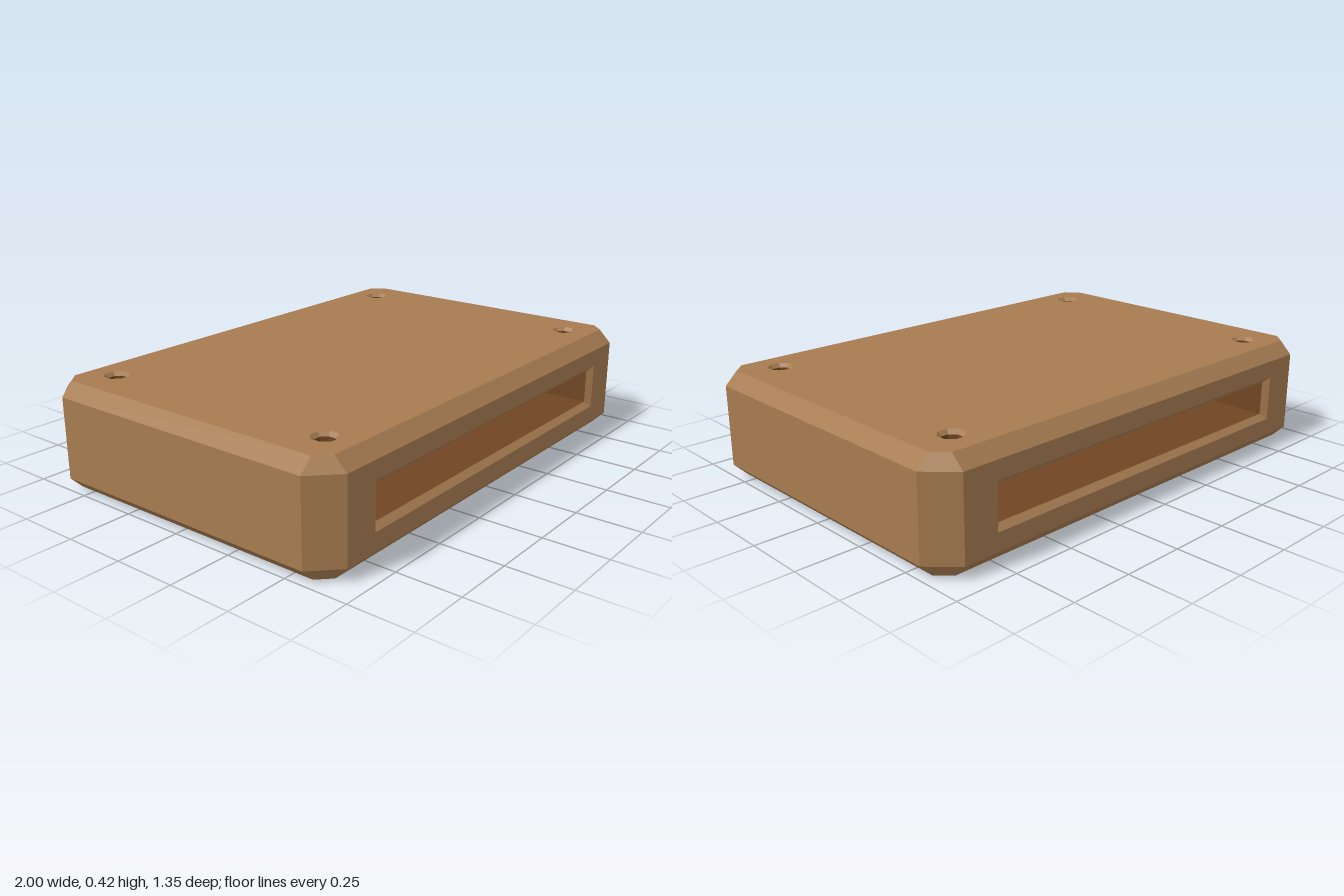
import * as THREE from 'three';

const caseBrown = new THREE.MeshStandardMaterial({ name: 'caseBrown', color: 0xa67b50 });
const innerBrown = new THREE.MeshStandardMaterial({ name: 'innerBrown', color: 0x704523 });

const H = 0.42, X = 1, Z = 0.675, CORNER = 0.1, BEVEL = 0.05;

// Counter-clockwise outlines in the xy plane
const rect = (hw, hh) => [[-hw, -hh], [hw, -hh], [hw, hh], [-hw, hh]];
const octagon = (r, cx = 0, cy = 0) => Array.from({ length: 8 }, (_, i) => {
  const a = (i + 0.5) * Math.PI / 4;
  return [cx + r * Math.cos(a), cy + r * Math.sin(a)];
});
const footprint = (inset) => {
  const x = X - inset, y = Z - inset, cx = X - CORNER, cy = Z - CORNER;
  return [[x, -cy], [x, cy], [cx, y], [-cx, y], [-x, cy], [-x, -cy], [-cx, -y], [cx, -y]];
};

// Flat-shaded skin through outlines placed at heights z; rising z faces out, falling z faces in
function loft(rings, { cap = false, skip = () => false } = {}) {
  const pos = [];
  const at = (k, i) => {
    const { pts, z } = rings[k];
    return [...pts[i % pts.length], z];
  };
  const n = rings[0].pts.length;
  for (let k = 0; k < rings.length - 1; k++) {
    for (let i = 0; i < n; i++) {
      if (skip(k, i)) continue;
      const a = at(k, i), b = at(k, i + 1), c = at(k + 1, i + 1), d = at(k + 1, i);
      pos.push(...a, ...b, ...c, ...a, ...c, ...d);
    }
  }
  const last = rings.length - 1;
  if (cap) for (let i = 1; i < n - 1; i++) pos.push(...at(last, 0), ...at(last, i), ...at(last, i + 1));
  const g = new THREE.BufferGeometry();
  g.setAttribute('position', new THREE.Float32BufferAttribute(pos, 3));
  g.computeVertexNormals();
  return g;
}

function plate(outline, holes = []) {
  const toV = (p) => p.map(([x, y]) => new THREE.Vector2(x, y));
  const shape = new THREE.Shape(toV(outline));
  holes.forEach((h) => shape.holes.push(new THREE.Path(toV(h))));
  return new THREE.ShapeGeometry(shape);
}

function add(parent, name, geometry, material) {
  const mesh = new THREE.Mesh(geometry, material);
  mesh.name = name;
  parent.add(mesh);
  return mesh;
}

export function createModel() {
  const model = new THREE.Group();
  model.name = 'case';

  // Upright shell, worked lying in xy with z as height
  const shell = new THREE.Group();
  shell.name = 'shell';
  shell.rotation.x = -Math.PI / 2;
  model.add(shell);
  add(shell, 'bevelledSides', loft([
    { pts: footprint(BEVEL), z: 0 },
    { pts: footprint(0), z: BEVEL },
    { pts: footprint(0), z: H - BEVEL },
    { pts: footprint(BEVEL), z: H },
  ], { skip: (k, i) => k === 1 && (i === 2 || i === 6) }), caseBrown);
  add(shell, 'bottom', plate(footprint(BEVEL)).rotateX(Math.PI), caseBrown);

  // Top with four countersunk screw holes
  const spots = [[-0.8, -0.505], [0.8, -0.505], [0.8, 0.505], [-0.8, 0.505]];
  add(shell, 'top', plate(footprint(BEVEL), spots.map(([x, y]) => octagon(0.05, x, y))).translate(0, 0, H), caseBrown);
  for (const [x, y] of spots) {
    const hole = new THREE.Group();
    hole.name = 'screwHole';
    hole.position.set(x, y, H);
    shell.add(hole);
    add(hole, 'countersink', loft([{ pts: octagon(0.05), z: 0 }, { pts: octagon(0.037), z: -0.015 }]), caseBrown);
    add(hole, 'screwWell', loft([{ pts: octagon(0.037), z: -0.015 }, { pts: octagon(0.037), z: -0.055 }], { cap: true }), innerBrown);
  }

  // Front and back panels, each with a wide bevelled slot
  for (const side of ['front', 'back']) {
    const panel = new THREE.Group();
    panel.name = side + 'Panel';
    panel.rotation.y = side === 'front' ? 0 : Math.PI;
    panel.position.y = H / 2;
    model.add(panel);
    const mouth = rect(0.76, 0.09), throat = rect(0.738, 0.068);
    add(panel, 'panelFace', plate(rect(X - CORNER, H / 2 - BEVEL), [mouth]).translate(0, 0, Z), caseBrown);
    add(panel, 'slotRim', loft([{ pts: mouth, z: Z }, { pts: throat, z: Z - 0.022 }]), caseBrown);
    add(panel, 'slotPocket', loft([{ pts: throat, z: Z - 0.022 }, { pts: throat, z: Z - 0.52 }], { cap: true }), innerBrown);
  }
  return model;
}
